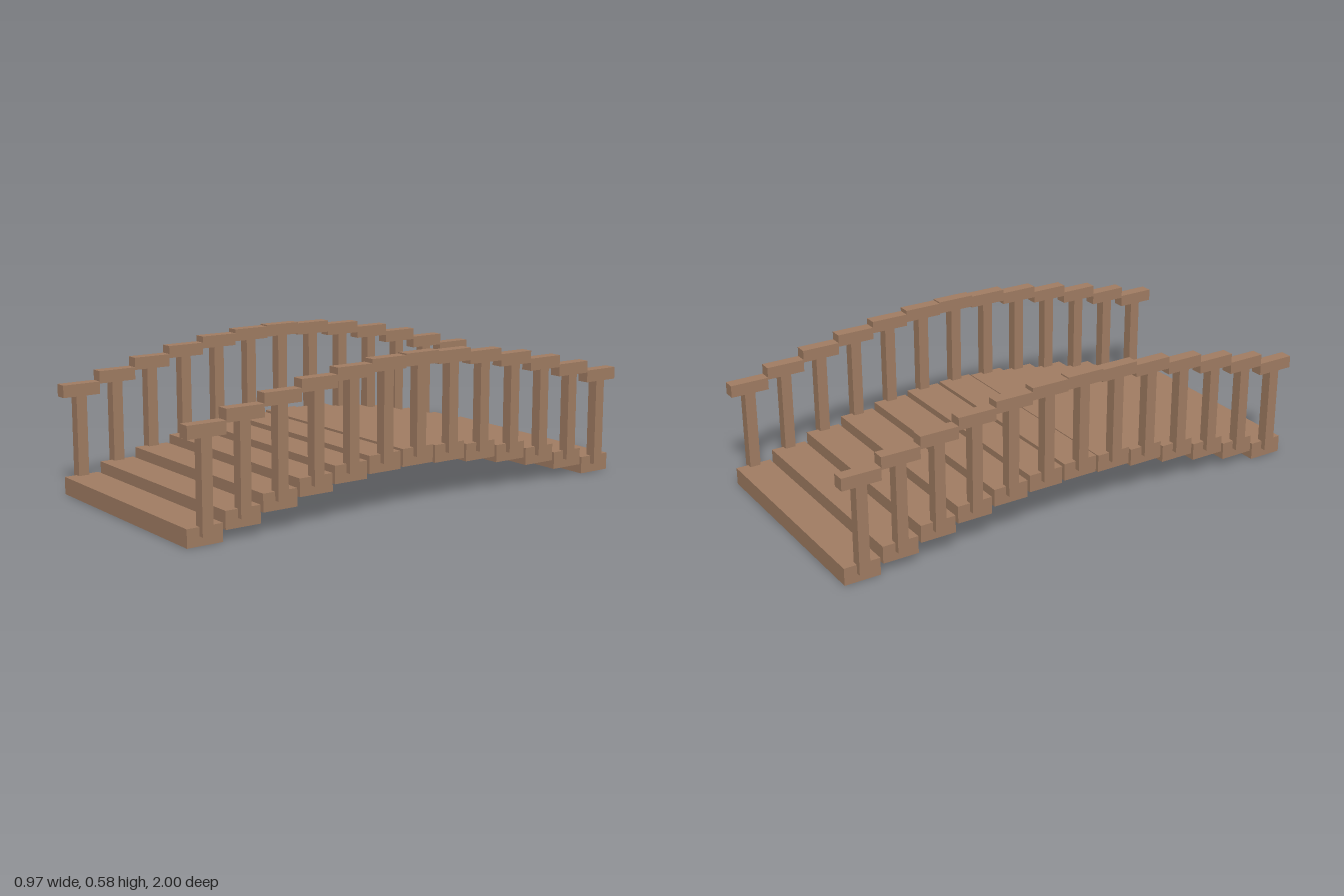
import * as THREE from 'three';

const COUNT = 13;          // planks along the span
const PITCH = 2 / COUNT;   // distance between planks
const RISE = 0.155;        // height of the arch

export function createModel() {
  const bridge = new THREE.Group();
  bridge.name = 'archedFootbridge';

  const wood = new THREE.MeshStandardMaterial({ color: 0xa07c62 });
  wood.name = 'brown wood';

  const plankGeometry = new THREE.BoxGeometry(0.924, 0.068, 0.143);
  const postGeometry = new THREE.BoxGeometry(0.043, 0.355, 0.043);
  const railGeometry = new THREE.BoxGeometry(0.049, 0.048, PITCH);

  const add = (parent, name, geometry, x, y, z) => {
    const mesh = new THREE.Mesh(geometry, wood);
    mesh.name = name;
    mesh.position.set(x, y, z);
    parent.add(mesh);
  };

  for (let i = 0; i < COUNT; i++) {
    // Each section is lifted along a sine arch
    const section = new THREE.Group();
    section.name = `section${i + 1}`;
    section.position.set(0, RISE * Math.sin((Math.PI * i) / (COUNT - 1)), 1 - PITCH * (i + 0.5));

    add(section, 'plank', plankGeometry, 0, 0.034, 0);

    // Post and handrail piece on both sides
    for (const [side, s] of [['left', 1], ['right', -1]]) {
      add(section, `${side}Post`, postGeometry, s * 0.4615, 0.2125, 0);
      add(section, `${side}Handrail`, railGeometry, s * 0.4615, 0.404, 0);
    }
    bridge.add(section);
  }
  return bridge;
}
